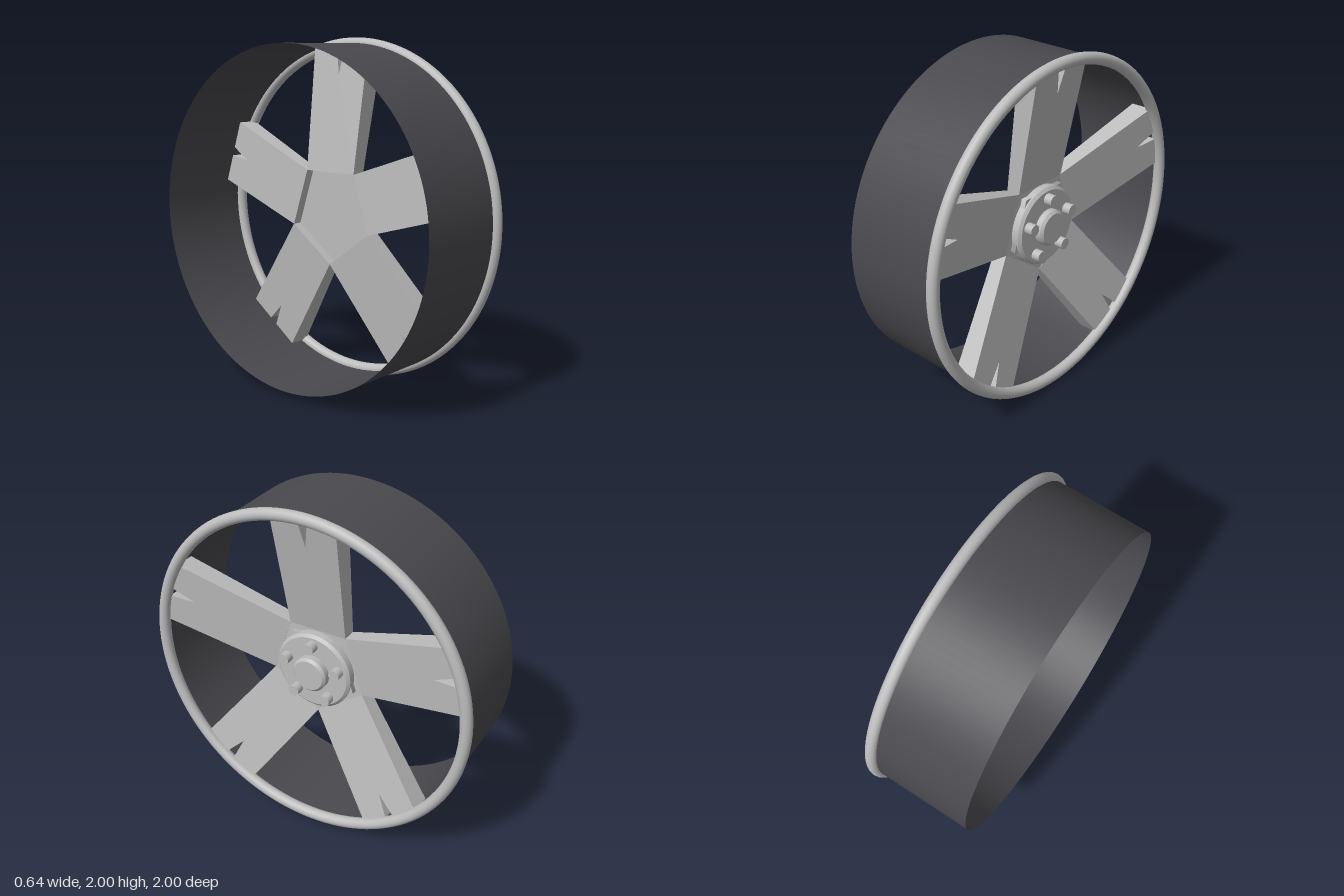
import * as THREE from 'three';
import { toCreasedNormals } from 'three/addons/utils/BufferGeometryUtils.js';

export function createModel() {
  const silver = new THREE.MeshStandardMaterial({ color: 0xbcbcbc });
  silver.name = 'silver';
  const charcoal = new THREE.MeshStandardMaterial({ color: 0x4a494e, side: THREE.DoubleSide });
  charcoal.name = 'charcoal';

  const wheel = new THREE.Group();
  wheel.name = 'wheel';
  wheel.position.y = 1;

  const add = (name, geometry, material, parent = wheel) => {
    const mesh = new THREE.Mesh(geometry, material);
    mesh.name = name;
    parent.add(mesh);
    return mesh;
  };

  // Turned part along the x axis; profile points are [radius, x]
  const turned = (points, segments) => {
    const g = new THREE.LatheGeometry(points.map(([r, x]) => new THREE.Vector2(r, x)), segments);
    return toCreasedNormals(g.rotateZ(-Math.PI / 2), 0.5);
  };

  // Five-sided plate along x with one corner pointing down
  const pentagon = (radius, x0, x1) =>
    new THREE.CylinderGeometry(radius, radius, x1 - x0, 5, 1, false, Math.PI / 2)
      .translate(0, (x0 + x1) / 2, 0)
      .rotateZ(-Math.PI / 2)
      .toNonIndexed();

  // Open barrel and rounded front lip
  add('barrel', turned([[0.968, -0.32], [0.968, 0.285]], 128), charcoal);
  const lip = new THREE.TorusGeometry(0.966, 0.034, 16, 128).rotateY(Math.PI / 2).translate(0.286, 0, 0);
  add('rimLip', lip, silver);

  // Spoke outline with a V notch at the tip; dished and thickened towards the rim
  const inner = 0.24, outer = 0.94;
  const outline = new THREE.Shape([
    [-0.175, inner], [0.175, inner], [0.196, outer], [0.028, outer],
    [0, 0.795], [-0.028, outer], [-0.196, outer],
  ].map(([x, y]) => new THREE.Vector2(x, y)));
  const spoke = new THREE.ExtrudeGeometry(outline, { depth: 1, bevelEnabled: false });
  const pos = spoke.attributes.position;
  for (let i = 0; i < pos.count; i++) {
    const t = (pos.getY(i) - inner) / (outer - inner);
    const back = THREE.MathUtils.lerp(0.06, 0.155, t);
    const front = THREE.MathUtils.lerp(0.145, 0.285, t);
    pos.setZ(i, pos.getZ(i) > 0.5 ? front : back);
  }
  spoke.rotateY(Math.PI / 2);
  spoke.computeVertexNormals();

  const bolt = turned([[0.033, 0.17], [0.033, 0.25], [0, 0.25]], 16).translate(0, 0.17, 0);

  for (let i = 0; i < 5; i++) {
    const angle = (i * Math.PI * 2) / 5;
    add('spoke', spoke, silver).rotation.x = angle;
    add('wheelBolt', bolt, silver).rotation.x = angle;
  }

  // Hub: back plate joining the spokes, five-cornered seat, round face and cap
  add('hubPlate', pentagon(0.298, 0.115, 0.143), silver);
  add('hubSeat', pentagon(0.256, 0.12, 0.175), silver);
  add('hubFace', turned([[0.232, 0.13], [0.232, 0.185], [0.215, 0.2], [0, 0.2]], 64), silver);
  add('centreCap', turned([[0.105, 0.19], [0.105, 0.235], [0.09, 0.25], [0, 0.25]], 48), silver);

  const model = new THREE.Group();
  model.name = 'wheelRim';
  model.add(wheel);
  return model;
}
